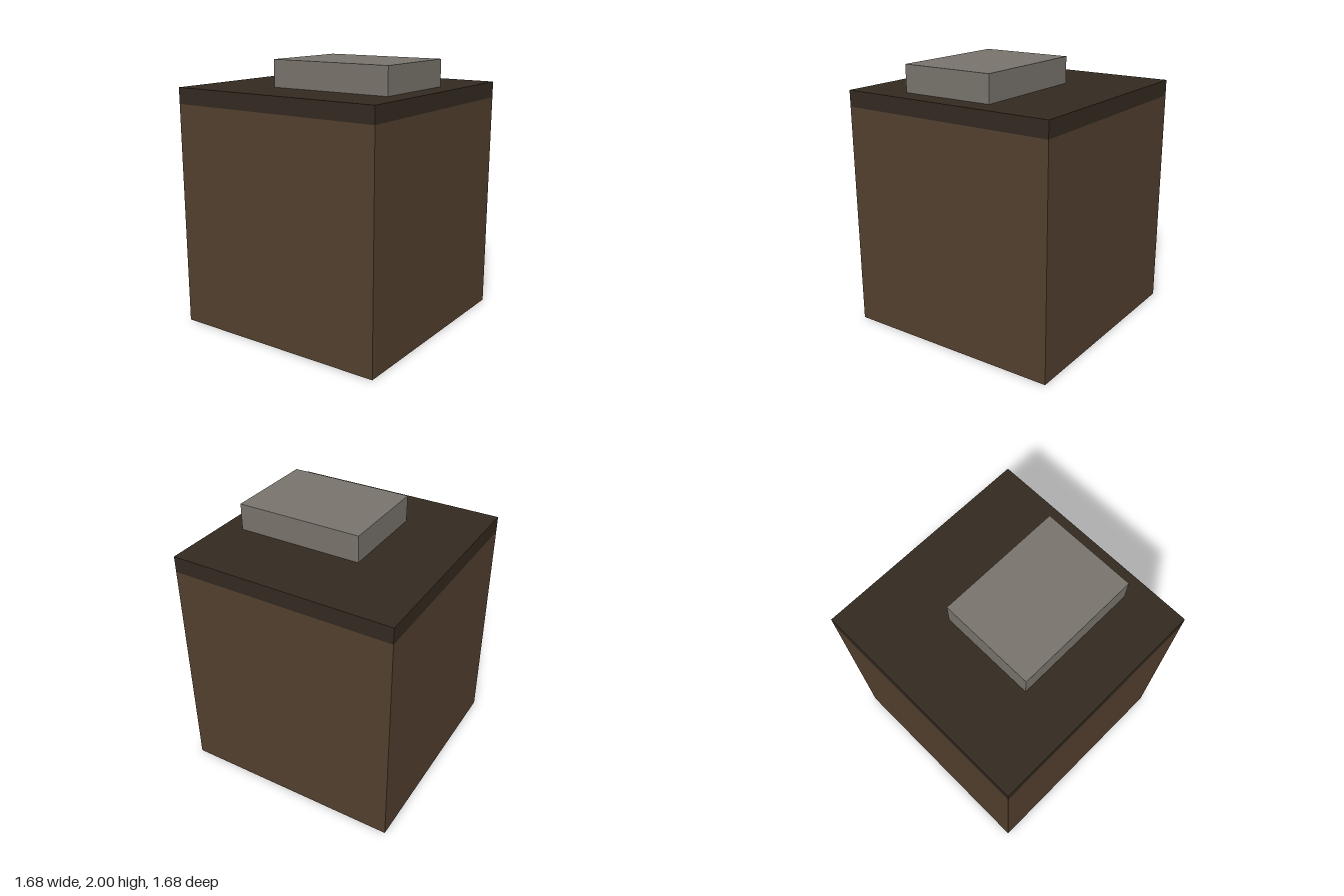
import * as THREE from 'three';

// Adds a box given its lower and upper corners.
function addBox(group, name, color, [x0, y0, z0], [x1, y1, z1]) {
  const mesh = new THREE.Mesh(
    new THREE.BoxGeometry(x1 - x0, y1 - y0, z1 - z0),
    new THREE.MeshStandardMaterial({ color, flatShading: true })
  );
  mesh.name = name;
  mesh.position.set((x0 + x1) / 2, (y0 + y1) / 2, (z0 + z1) / 2);
  group.add(mesh);
}

export function createModel() {
  const group = new THREE.Group();
  group.name = 'crate';
  const half = 0.84;

  // Cubic body with a darker top layer flush with its sides
  addBox(group, 'body', 0x523f2e, [-half, 0, -half], [half, 1.68, half]);
  addBox(group, 'topLayer', 0x332a20, [-half, 1.68, -half], [half, 1.8, half]);

  // Off-centre grey slab resting on top
  addBox(group, 'slab', 0x78736b, [-0.28, 1.8, -0.28], [0.68, 2, 0.44]);

  return group;
}
